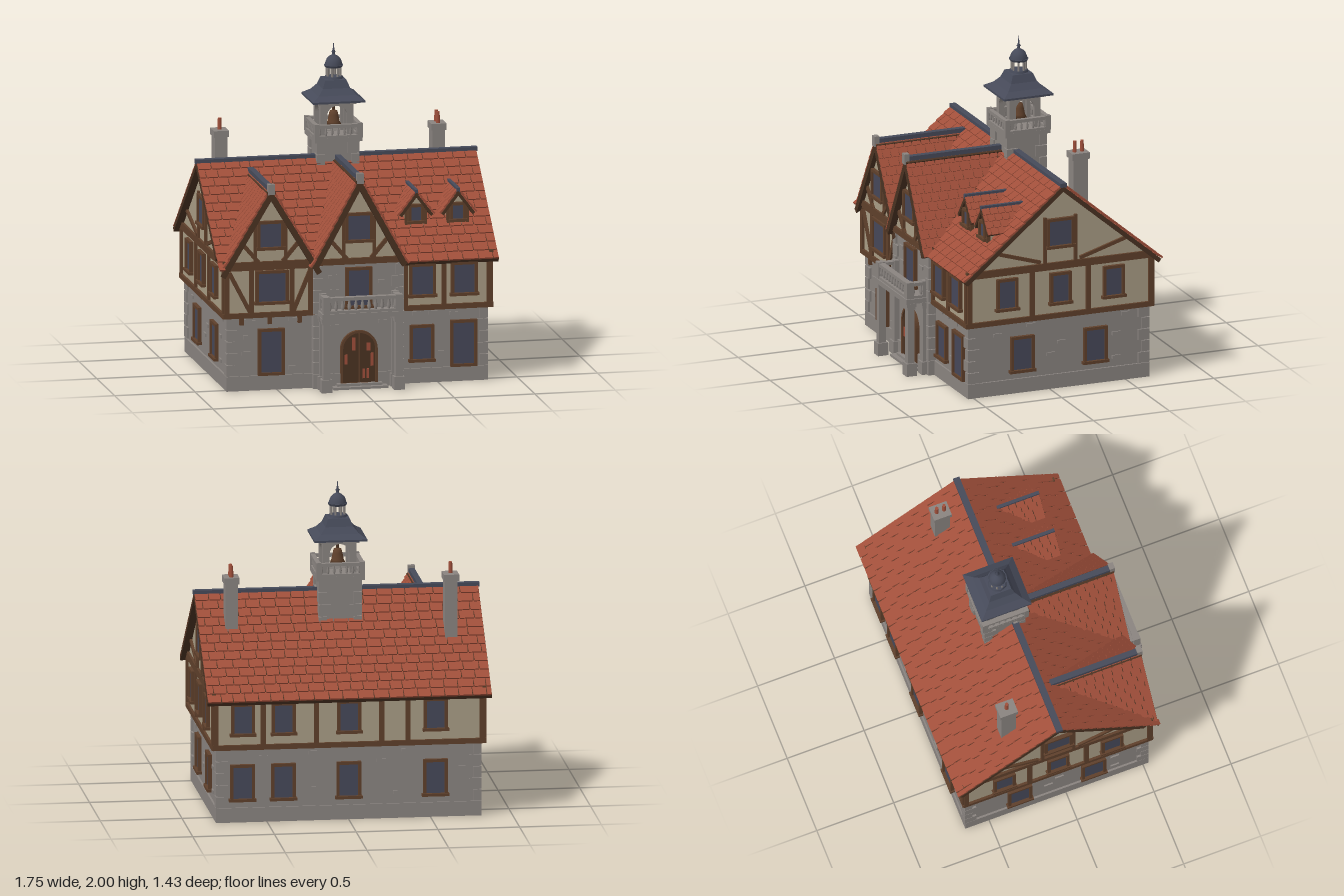
import * as THREE from 'three';
import { mergeGeometries } from 'three/addons/utils/BufferGeometryUtils.js';

const mat = (name, color) => Object.assign(new THREE.MeshStandardMaterial({ color }), { name });
const STONE = mat('stone', 0x8a8480), PLASTER = mat('plaster', 0xa99d85), TIMBER = mat('timber', 0x5f402b);
const GLASS = mat('window glass', 0x464859), SLATE = mat('slate', 0x464a59), TILE = mat('roof tile', 0xa04f3a);
const DARK = mat('dark wood', 0x4a3222);

const V = (x, y, z) => new THREE.Vector3(x, y, z);
let seed = 7;
const rnd = () => (seed = (seed * 16807) % 2147483647) / 2147483647;

function add(parent, name, geo, material, x = 0, y = 0, z = 0) {
  const m = new THREE.Mesh(geo, material);
  m.name = name;
  m.position.set(x, y, z);
  parent.add(m);
  return m;
}
// Box given by its minimum and maximum corners
const span = (p, name, m, x0, x1, y0, y1, z0, z1) =>
  add(p, name, new THREE.BoxGeometry(x1 - x0, y1 - y0, z1 - z0), m, (x0 + x1) / 2, (y0 + y1) / 2, (z0 + z1) / 2);
const cyl = (p, name, m, r0, r1, x, y0, y1, z, n = 8) =>
  add(p, name, new THREE.CylinderGeometry(r1, r0, y1 - y0, n), m, x, (y0 + y1) / 2, z);
const poly = pts => new THREE.Shape(pts.map(([x, y]) => new THREE.Vector2(x, y)));
const extrude = (shape, depth, curveSegments = 12) => new THREE.ExtrudeGeometry(shape, { depth, bevelEnabled: false, curveSegments });
const group = (parent, name) => { const g = new THREE.Group(); g.name = name; parent.add(g); return g; };

// Straight beam lying on a facade
function beam(p, x1, y1, x2, y2, z, w = 0.032) {
  const m = add(p, 'beam', new THREE.BoxGeometry(Math.hypot(x2 - x1, y2 - y1), w, 0.024), TIMBER, (x1 + x2) / 2, (y1 + y2) / 2, z);
  m.rotation.z = Math.atan2(y2 - y1, x2 - x1);
}
function win(p, x, y0, y1, w, z, sill = true) {
  const g = group(p, 'window'), h = w / 2, f = 0.018;
  span(g, 'glass', GLASS, x - h + f, x + h - f, y0 + f, y1 - f, z, z + 0.008);
  for (const s of [-1, 1]) add(g, 'jamb', new THREE.BoxGeometry(f, y1 - y0, 0.04), TIMBER, x + s * (h - f / 2), (y0 + y1) / 2, z);
  span(g, 'head', TIMBER, x - h, x + h, y1 - f, y1, z - 0.02, z + 0.02);
  const e = sill ? 0.008 : 0;
  span(g, 'sill', TIMBER, x - h - e, x + h + e, y0, y0 + f, z - 0.02, z + 0.02 + e);
}
function stones(p, z, list) {
  for (const [x, y] of list) add(p, 'wall stone', new THREE.BoxGeometry(0.055, 0.022, 0.018), STONE, x, y, z);
}
// Alternating corner stones whose outer faces stand slightly proud
function quoins(p, x, z, sx, sz, y0, y1) {
  const n = Math.round((y1 - y0) / 0.075), h = (y1 - y0) / n;
  for (let i = 0; i < n; i++) {
    const a = i % 2 ? 0.075 : 0.05, b = i % 2 ? 0.05 : 0.075;
    add(p, 'corner stone', new THREE.BoxGeometry(a, h - 0.006, b), STONE, x + sx * (0.012 - a / 2), y0 + (i + 0.5) * h, z + sz * (0.012 - b / 2));
  }
}
function balustrade(p, x1, z1, x2, z2, y, h, n, r) {
  const g = group(p, 'balustrade'), len = Math.hypot(x2 - x1, z2 - z1);
  for (const [yy, t] of [[y + 0.008, 0.016], [y + h - 0.012, 0.02]]) {
    const m = add(g, 'rail', new THREE.BoxGeometry(len, t, r * 3), STONE, (x1 + x2) / 2, yy, (z1 + z2) / 2);
    m.rotation.y = -Math.atan2(z2 - z1, x2 - x1);
  }
  const prof = [[0.6, 0], [0.6, 0.15], [1, 0.35], [0.5, 0.7], [0.8, 1]].map(([a, b]) => new THREE.Vector2(a * r, b * h * 0.85));
  for (let i = 0; i < n; i++) {
    const t = (i + 0.5) / n;
    add(g, 'baluster', new THREE.LatheGeometry(prof, 8), STONE, x1 + (x2 - x1) * t, y + 0.008, z1 + (z2 - z1) * t);
  }
  for (const [x, z] of [[x1, z1], [x2, z2]]) add(g, 'post', new THREE.BoxGeometry(r * 3.4, h + 0.006, r * 3.4), STONE, x, y + h / 2, z);
}

// One roof slope: a timber slab with overlapping tiles. u runs along the ridge, d down the slope
function roofPlane(p, top, u, d, outline, length, rows, thick, tileW, ranges) {
  const g = group(p, 'roof slope'), n = d.clone().cross(u), row = length / rows;
  const slab = extrude(poly(outline), thick);
  slab.applyMatrix4(new THREE.Matrix4().makeBasis(u, d, n.clone().negate()).setPosition(top));
  add(g, 'roof boards', slab, DARK);
  const tiles = [], basis = new THREE.Matrix4().makeBasis(u, n, d);
  for (let i = 0; i < rows; i++) {
    const t = (i + 0.5) * row;
    for (const [a, b] of ranges(t)) {
      let x = a;
      let w = tileW * (i % 2 ? 0.5 : 1);
      while (x < b - 0.004) {
        const e = b - x - w < tileW * 0.35 ? b : x + w;
        const box = new THREE.BoxGeometry(e - x - 0.003, 0.011, row * 1.12), q = box.attributes.position;
        for (let k = 0; k < q.count; k++) if (q.getZ(k) > 0) q.setX(k, q.getX(k) * (1 - 0.006 / (e - x + 0.01)));
        box.rotateX(-0.13);
        const c = top.clone().addScaledVector(u, (x + e) / 2).addScaledVector(d, t).addScaledVector(n, 0.007);
        tiles.push(box.applyMatrix4(basis.clone().setPosition(c)));
        x = e;
        w = tileW * (0.85 + 0.3 * rnd());
      }
    }
  }
  add(g, 'roof tiles', mergeGeometries(tiles), TILE);
}

const RIDGE_Z = -0.065, RIDGE_Y = 1.3, PITCH = 0.84;
const valley = y => RIDGE_Z + (RIDGE_Y - y) / PITCH;
// Front-facing gable roof which dies into the main roof along its valleys
function gableRoof(p, cx, apex, half, eave, zF, rows, thick, tileW) {
  const g = group(p, 'gable roof'), L = Math.hypot(half, apex - eave);
  for (const s of [-1, 1]) {
    const back = t => Math.min(valley(apex - (apex - eave) * t / L), zF - 0.002);
    roofPlane(g, V(cx, apex, 0), V(0, 0, -s), V(s * half / L, (eave - apex) / L, 0),
      [[-s * zF, 0], [-s * back(0), 0], [-s * back(L), L], [-s * zF, L]], L, rows, thick, tileW,
      t => [[-s * back(t), -s * zF].sort((a, b) => a - b)]);
  }
  const w = thick > 0.02 ? 0.018 : 0.01;
  span(g, 'ridge cap', SLATE, cx - w, cx + w, apex - 0.012, apex + 0.018, valley(apex), zF);
  if (thick > 0.02) span(g, 'ridge end stone', STONE, cx - 0.021, cx + 0.021, apex - 0.03, apex + 0.035, zF - 0.025, zF + 0.008);
}

function buildWalls(root) {
  const g = group(root, 'walls');
  span(g, 'groundFloor', STONE, -0.8, 0.8, 0, 0.46, -0.645, 0.525);
  span(g, 'plinth', STONE, -0.812, 0.812, 0, 0.09, -0.655, 0.537);
  span(g, 'entranceBay', STONE, -0.27, 0.27, 0, 0.78, 0.4, 0.565);
  span(g, 'bayPlinth', STONE, -0.282, 0.282, 0, 0.09, 0.4, 0.577);
  for (const sx of [-1, 1]) {
    quoins(g, sx * 0.8, 0.525, sx, 1, 0.09, 0.455);
    quoins(g, sx * 0.8, -0.645, sx, -1, 0.09, 0.455);
    quoins(g, sx * 0.27, 0.565, sx, 1, 0.09, 0.76);
  }
  // Upper storey and end gables in one profile
  const upper = extrude(poly([[-0.545, 0.46], [0.665, 0.46], [0.665, 0.77], [0.06, 1.28], [-0.545, 0.77]]), 1.65);
  upper.rotateY(Math.PI / 2);
  add(g, 'upperStorey', upper, PLASTER, -0.825);
  add(g, 'leftGable', extrude(poly([[-0.28, 0.77], [0.28, 0.77], [0, 1.235]]), 0.5), PLASTER, -0.545, 0, 0.055);
  add(g, 'centreGable', extrude(poly([[-0.275, 0.77], [0.275, 0.77], [0, 1.275]]), 0.5), PLASTER, 0, 0, 0.073);

  // Front
  const f = group(g, 'frontFacade'), z = 0.548;
  for (const [x, y0, y1, w, s] of [[-0.535, 0.09, 0.38, 0.165, 0], [0.4, 0.13, 0.36, 0.15, 1], [0.66, 0.09, 0.38, 0.165, 0]]) win(f, x, y0, y1, w, 0.528, !!s);
  for (const [x, w] of [[-0.535, 0.205], [0.4, 0.165], [0.66, 0.165]]) win(f, x, 0.535, 0.745, w, z);
  win(f, 0, 0.49, 0.745, 0.165, 0.568);
  win(f, -0.545, 0.875, 1.055, 0.165, 0.557);
  win(f, 0, 0.9, 1.085, 0.17, 0.575);
  for (const [a, b] of [[-0.835, -0.27], [0.27, 0.835]]) {
    beam(f, a, 0.47, b, 0.47, z);
    beam(f, a, 0.765, b, 0.765, z);
  }
  for (const x of [-0.815, -0.66, -0.41, -0.295, 0.295, 0.535, 0.815]) beam(f, x, 0.46, x, 0.775, z, 0.028);
  beam(f, -0.8, 0.74, -0.67, 0.49, z, 0.025);
  beam(f, -0.295, 0.74, -0.4, 0.49, z, 0.025);
  for (const [cx, zz, h] of [[-0.545, 0.557, 0.275], [0, 0.577, 0.275]]) {
    beam(f, cx - h, 0.785, cx + h, 0.785, zz, 0.038);
    for (const s of [-1, 1]) {
      beam(f, cx + s * 0.19, 0.935, cx + s * 0.075, 0.8, zz, 0.025);
      beam(f, cx + s * 0.095, 0.8, cx + s * 0.095, 1.06, zz, 0.02);
    }
  }
  for (const x of [-0.72, -0.545, -0.36]) span(f, 'bracket', TIMBER, x - 0.012, x + 0.012, 0.41, 0.455, 0.52, 0.55);
  stones(f, 0.525, [[-0.7, 0.43], [-0.66, 0.42], [-0.4, 0.43], [-0.69, 0.23], [-0.68, 0.33], [-0.4, 0.13], [0.37, 0.43], [0.47, 0.43], [0.53, 0.18], [0.6, 0.42]]);
  stones(f, 0.565, [[-0.16, 0.69], [-0.15, 0.6], [0.15, 0.65], [-0.15, 0.38], [0.15, 0.4]]);

  // Both ends, mirrored
  for (const s of [-1, 1]) {
    const e = group(g, s > 0 ? 'leftEnd' : 'rightEnd');
    e.position.z = -0.06;
    e.rotation.y = s * Math.PI / 2;
    for (const x of [-0.24, 0.24]) win(e, x, 0.13, 0.36, 0.155, 0.803);
    for (const x of [-0.35, 0, 0.35]) win(e, x, 0.54, 0.745, 0.14, 0.828);
    win(e, 0, 0.9, 1.09, 0.18, 0.828);
    beam(e, -0.615, 0.47, 0.615, 0.47, 0.828);
    beam(e, -0.615, 0.787, 0.615, 0.787, 0.828, 0.045);
    for (const x of [-0.595, -0.185, 0.185, 0.595]) beam(e, x, 0.46, x, 0.775, 0.828, 0.03);
    for (const k of [-1, 1]) {
      beam(e, k * 0.13, 0.82, k * 0.44, 0.915, 0.828, 0.022);
      beam(e, k * 0.1, 0.8, k * 0.1, 1.1, 0.828, 0.02);
    }
    stones(e, 0.8, [[-0.18, 0.42], [0.02, 0.29], [-0.05, 0.22], [0.38, 0.3], [0.38, 0.15], [0.44, 0.42], [-0.4, 0.38]]);
  }
  // Back
  const b = group(g, 'backFacade');
  b.rotation.y = Math.PI;
  for (const x of [-0.65, -0.4, 0, 0.53]) {
    win(b, x, 0.13, 0.36, 0.15, 0.648);
    win(b, x, 0.54, 0.745, 0.145, 0.668);
  }
  beam(b, -0.835, 0.47, 0.835, 0.47, 0.668);
  beam(b, -0.835, 0.765, 0.835, 0.765, 0.668);
  for (const x of [-0.815, -0.525, -0.2, 0.2, 0.36, 0.815]) beam(b, x, 0.46, x, 0.775, 0.668, 0.03);
  stones(b, 0.645, [[-0.52, 0.4], [-0.2, 0.2], [0.2, 0.36], [0.3, 0.16], [-0.22, 0.42], [0.7, 0.3], [0.35, 0.42]]);
}

function buildRoof(root) {
  const g = group(root, 'mainRoof'), k = Math.hypot(1, PITCH), L = 0.645 * k, Lb = 0.565 * k, W = 0.87;
  roofPlane(g, V(0, RIDGE_Y, RIDGE_Z), V(-1, 0, 0), V(0, -PITCH / k, -1 / k), [[-W, 0], [W, 0], [W, L], [-W, L]], L, 13, 0.028, 0.085, () => [[-W, W]]);
  roofPlane(g, V(0, RIDGE_Y, RIDGE_Z), V(1, 0, 0), V(0, -PITCH / k, 1 / k),
    [[-W, 0], [W, 0], [W, L], [0.27, L], [0.27, Lb], [-W, Lb]], L, 13, 0.028, 0.085, t => {
      const y = RIDGE_Y - t * PITCH / k, a = Math.max(0, (1.25 - y) / 1.66), c = (RIDGE_Y - y) / 1.83;
      return [[-W, -0.545 - a], [-0.545 + a, -c], [c, W]].filter(([p, q]) => q - p > 0.015);
    });
  span(g, 'ridgeCap', SLATE, -0.876, 0.876, 1.292, 1.318, RIDGE_Z - 0.02, RIDGE_Z + 0.02);
  gableRoof(root, -0.545, 1.25, 0.315, 0.727, 0.585, 11, 0.035, 0.06);
  gableRoof(root, 0, 1.3, 0.295, 0.76, 0.615, 11, 0.035, 0.06);
  for (const x of [0.4, 0.66]) {
    const d = group(root, 'dormer');
    add(d, 'dormerWall', extrude(poly([[-0.065, 0.92], [0.065, 0.92], [0.065, 1.045], [0, 1.13], [-0.065, 1.045]]), 0.25), PLASTER, x, 0, 0.115);
    win(d, x, 0.955, 1.075, 0.1, 0.368);
    for (const s of [-1, 1]) beam(d, x + s * 0.06, 0.93, x + s * 0.06, 1.05, 0.365, 0.016);
    gableRoof(d, x, 1.148, 0.105, 1.01, 0.39, 4, 0.018, 0.05);
  }
  // Chimneys
  for (const [x, z, pots] of [[-0.665, -0.33, [0]], [0.668, -0.248, [-0.024, 0.024]]]) {
    const c = group(root, 'chimney');
    span(c, 'stack', STONE, x - 0.038, x + 0.038, 0.95, 1.41, z - 0.048, z + 0.048);
    span(c, 'cap', STONE, x - 0.047, x + 0.047, 1.4, 1.44, z - 0.057, z + 0.057);
    for (const o of pots) cyl(c, 'pot', TILE, 0.013, 0.011, x, 1.44, 1.51, z + o);
  }
}

function buildPorch(root) {
  const g = group(root, 'porch');
  span(g, 'step', STONE, -0.17, 0.17, 0, 0.015, 0.56, 0.64);
  span(g, 'upperStep', STONE, -0.14, 0.14, 0.015, 0.03, 0.56, 0.61);
  for (const s of [-1, 1]) for (const z of [0.675, 0.575]) {
    const x = s * 0.225;
    for (const [y0, y1, h] of [[0, 0.08, 0.033], [0.08, 0.42, 0.022], [0.42, 0.438, 0.027], [0.438, 0.46, 0.032]])
      span(g, 'pillar', STONE, x - h, x + h, y0, y1, z - h, z + h);
  }
  span(g, 'balconyFloor', STONE, -0.255, 0.255, 0.458, 0.488, 0.55, 0.708);
  balustrade(g, -0.225, 0.68, 0.225, 0.68, 0.488, 0.1, 11, 0.013);
  for (const s of [-1, 1]) balustrade(g, s * 0.225, 0.575, s * 0.225, 0.68, 0.488, 0.1, 2, 0.013);
  // Arched door with a frame
  const arch = r => { const a = new THREE.Shape(); a.moveTo(-r, 0.03); a.lineTo(r, 0.03); a.lineTo(r, 0.238); a.absarc(0, 0.238, r, 0, Math.PI); a.closePath(); return a; };
  const frame = arch(0.115);
  frame.holes.push(arch(0.1));
  add(g, 'doorFrame', extrude(frame, 0.03), TIMBER, 0, 0, 0.56);
  add(g, 'door', extrude(arch(0.1), 0.02), DARK, 0, 0, 0.56);
  span(g, 'doorSplit', TIMBER, -0.004, 0.004, 0.03, 0.335, 0.58, 0.585);
  for (const [x, y, w, h] of [[-0.033, 0.27, 0.022, 0.08], [0.06, 0.25, 0.025, 0.05], [-0.08, 0.175, 0.018, 0.06], [0.08, 0.17, 0.018, 0.08], [0.03, 0.085, 0.016, 0.06], [0.055, 0.085, 0.016, 0.06]])
    add(g, 'doorPanel', new THREE.BoxGeometry(w, h, 0.006), TILE, x, y, 0.581);
}

function buildTower(root) {
  const g = group(root, 'bellTower');
  g.position.z = -0.135;
  span(g, 'towerBase', STONE, -0.12, 0.12, 1, 1.4, -0.12, 0.12);
  for (const sx of [-1, 1]) for (const sz of [-1, 1]) quoins(g, sx * 0.12, sz * 0.12, sx, sz, 1.1, 1.4);
  span(g, 'gallery', STONE, -0.148, 0.148, 1.4, 1.425, -0.148, 0.148);
  const wall = poly([[-0.1, 1.42], [0.1, 1.42], [0.1, 1.64], [-0.1, 1.64]]), hole = new THREE.Path();
  hole.moveTo(-0.062, 1.43);
  hole.lineTo(0.062, 1.43);
  hole.lineTo(0.062, 1.555);
  hole.absarc(0, 1.555, 0.062, 0, Math.PI);
  wall.holes.push(hole);
  for (let i = 0; i < 4; i++) {
    const side = group(g, 'belfrySide');
    side.rotation.y = i * Math.PI / 2;
    add(side, 'archWall', extrude(wall, 0.025), STONE, 0, 0, 0.078);
    balustrade(side, -0.134, 0.134, 0.134, 0.134, 1.425, 0.085, 7, 0.009);
  }
  span(g, 'cornice', STONE, -0.118, 0.118, 1.625, 1.652, -0.118, 0.118);
  // Bell
  const bell = [[0, 1.475], [0.05, 1.475], [0.038, 1.5], [0.03, 1.54], [0.024, 1.565], [0, 1.575]];
  add(g, 'bell', new THREE.LatheGeometry(bell.map(p => new THREE.Vector2(...p)), 16), TIMBER);
  cyl(g, 'bellHanger', DARK, 0.008, 0.008, 0, 1.57, 1.63, 0);
  // Flared four-sided roof
  const prof = [[0, 1.642], [0.162, 1.642], [0.162, 1.654], [0.118, 1.682], [0.085, 1.72], [0.066, 1.768], [0, 1.772]];
  const flare = new THREE.LatheGeometry(prof.map(([r, y]) => new THREE.Vector2(r * Math.SQRT2, y)), 4).toNonIndexed();
  flare.rotateY(Math.PI / 4);
  flare.computeVertexNormals();
  add(g, 'flaredRoof', flare, SLATE);
  // Open lantern with dome and spire
  cyl(g, 'lanternBase', SLATE, 0.062, 0.056, 0, 1.765, 1.782, 0);
  for (let i = 0; i < 8; i++) {
    const a = (i + 0.5) * Math.PI / 4;
    cyl(g, 'lanternPost', STONE, 0.007, 0.007, 0.043 * Math.cos(a), 1.78, 1.845, 0.043 * Math.sin(a), 6);
  }
  cyl(g, 'lanternRing', SLATE, 0.053, 0.06, 0, 1.838, 1.852, 0, 16);
  const dome = [[0.054, 1.85], [0.051, 1.87], [0.042, 1.89], [0.026, 1.905], [0.01, 1.914], [0.008, 1.925], [0.014, 1.932], [0.006, 1.942], [0, 2]];
  add(g, 'domeAndSpire', new THREE.LatheGeometry(dome.map(p => new THREE.Vector2(...p)), 12), SLATE);
}

export function createModel() {
  const root = new THREE.Group();
  root.name = 'timberFramedHall';
  seed = 7;
  buildWalls(root);
  buildRoof(root);
  buildPorch(root);
  buildTower(root);
  return root;
}
